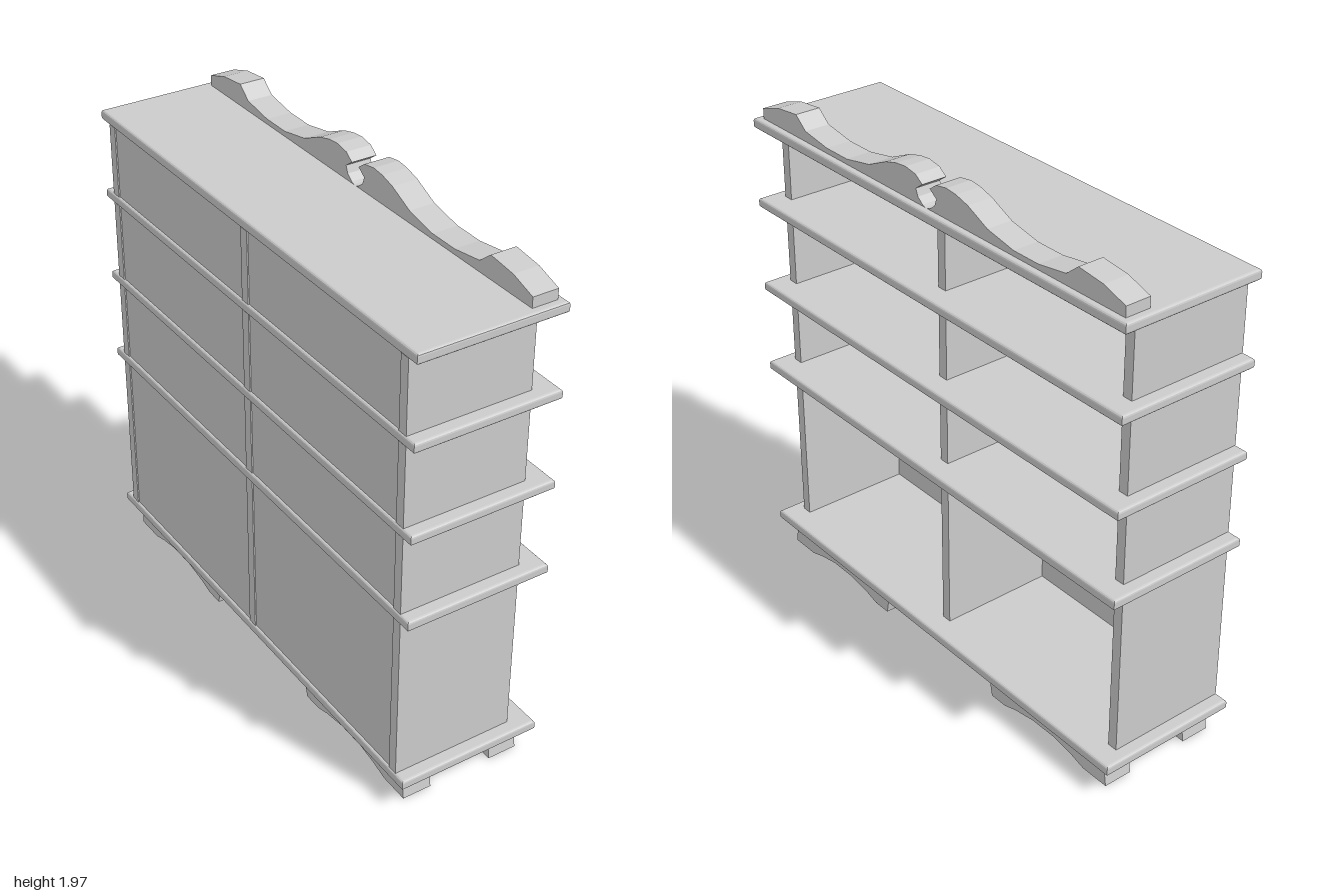
import * as THREE from 'three';

const material = new THREE.MeshStandardMaterial({ color: 0xcccccc, flatShading: true });

export function createModel() {
  const group = new THREE.Group();

  function add(name, geometry, x = 0, y = 0, z = 0) {
    const mesh = new THREE.Mesh(geometry, material);
    mesh.name = name;
    mesh.position.set(x, y, z);
    group.add(mesh);
    return mesh;
  }

  // Box given by its minimum and maximum corners
  function box(name, x0, x1, y0, y1, z0, z1) {
    add(name, new THREE.BoxGeometry(x1 - x0, y1 - y0, z1 - z0),
      (x0 + x1) / 2, (y0 + y1) / 2, (z0 + z1) / 2);
  }

  // Outline in the z-y plane, extruded along x
  function profile(name, points, x0, x1, z = 0) {
    const shape = new THREE.Shape(points.map(([a, b]) => new THREE.Vector2(a, b)));
    const geometry = new THREE.ExtrudeGeometry(shape, { depth: x1 - x0, bevelEnabled: false });
    geometry.rotateY(Math.PI / 2);
    add(name, geometry, x0, 0, z);
  }

  // Shelf boards with rounded edges
  const boards = [[0.1, 0.14], [0.805, 0.845], [1.153, 1.191], [1.503, 1.541], [1.82, 1.86]];
  const names = ['baseBoard', 'lowerShelf', 'middleShelf', 'upperShelf', 'topBoard'];
  const bevel = 0.01;
  const w = 0.285 - bevel, d = 1 - bevel;
  boards.forEach(([y0, y1], i) => {
    const shape = new THREE.Shape([
      new THREE.Vector2(-w, -d), new THREE.Vector2(w, -d),
      new THREE.Vector2(w, d), new THREE.Vector2(-w, d),
    ]);
    const geometry = new THREE.ExtrudeGeometry(shape, {
      depth: y1 - y0 - 2 * bevel, bevelSize: bevel, bevelThickness: bevel, bevelSegments: 3,
    });
    geometry.rotateX(-Math.PI / 2);
    add(names[i], geometry, 0, y0 + bevel, 0);
  });

  // Uprights and back panels in each tier
  for (let i = 0; i < 4; i++) {
    const y0 = boards[i][1], y1 = boards[i + 1][0];
    box('centreDivider', -0.28, 0.2, y0, y1, -0.02, 0.02);
    for (const s of [-1, 1]) {
      box('sidePanel', -0.28, 0.2, y0, y1, s * 0.93 - 0.02, s * 0.93 + 0.02);
      box('backPanel', -0.275, -0.255, y0, y1, s * 0.465 - 0.445, s * 0.465 + 0.445);
    }
  }

  // Scrolled crest with a notch in the middle
  const half = [
    [0.97, 1.858], [0.97, 1.9], [0.87, 1.932], [0.755, 1.945], [0.7, 1.9], [0.57, 1.88],
    [0.45, 1.88], [0.32, 1.905], [0.22, 1.95], [0.16, 1.966], [0.11, 1.971], [0.055, 1.962],
    [0.02, 1.937], [0.055, 1.912], [0.045, 1.885], [0.02, 1.865],
  ];
  const mirrored = half.map(([z, y]) => [-z, y]).reverse();
  profile('crest', [...half, [0, 1.858], ...mirrored], 0.16, 0.26);

  // Arched feet on the front and back edges
  const foot = [
    [0.935, 0.1], [0.95, 0], [0.83, 0], [0.77, 0.018], [0.68, 0.035], [0.56, 0.035],
    [0.46, 0.018], [0.4, 0], [0.325, 0], [0.305, 0.1],
  ];
  for (const s of [-1, 1]) {
    for (const t of [-1, 1]) {
      const points = foot.map(([z, y]) => [t * z, y]);
      profile('foot', points, s * 0.185 - 0.0575, s * 0.185 + 0.0575);
    }
  }

  // Round rails joining the feet
  const smooth = new THREE.MeshStandardMaterial({ color: 0xcccccc });
  for (const s of [-1, 1]) {
    const long = add('longRail', new THREE.CylinderGeometry(0.038, 0.038, 0.66, 16), s * 0.185, 0.064, 0);
    long.rotation.x = Math.PI / 2;
    long.material = smooth;
    const short = add('shortRail', new THREE.CylinderGeometry(0.038, 0.038, 0.28, 16), 0, 0.064, s * 0.88);
    short.rotation.z = Math.PI / 2;
    short.material = smooth;
  }

  return group;
}
